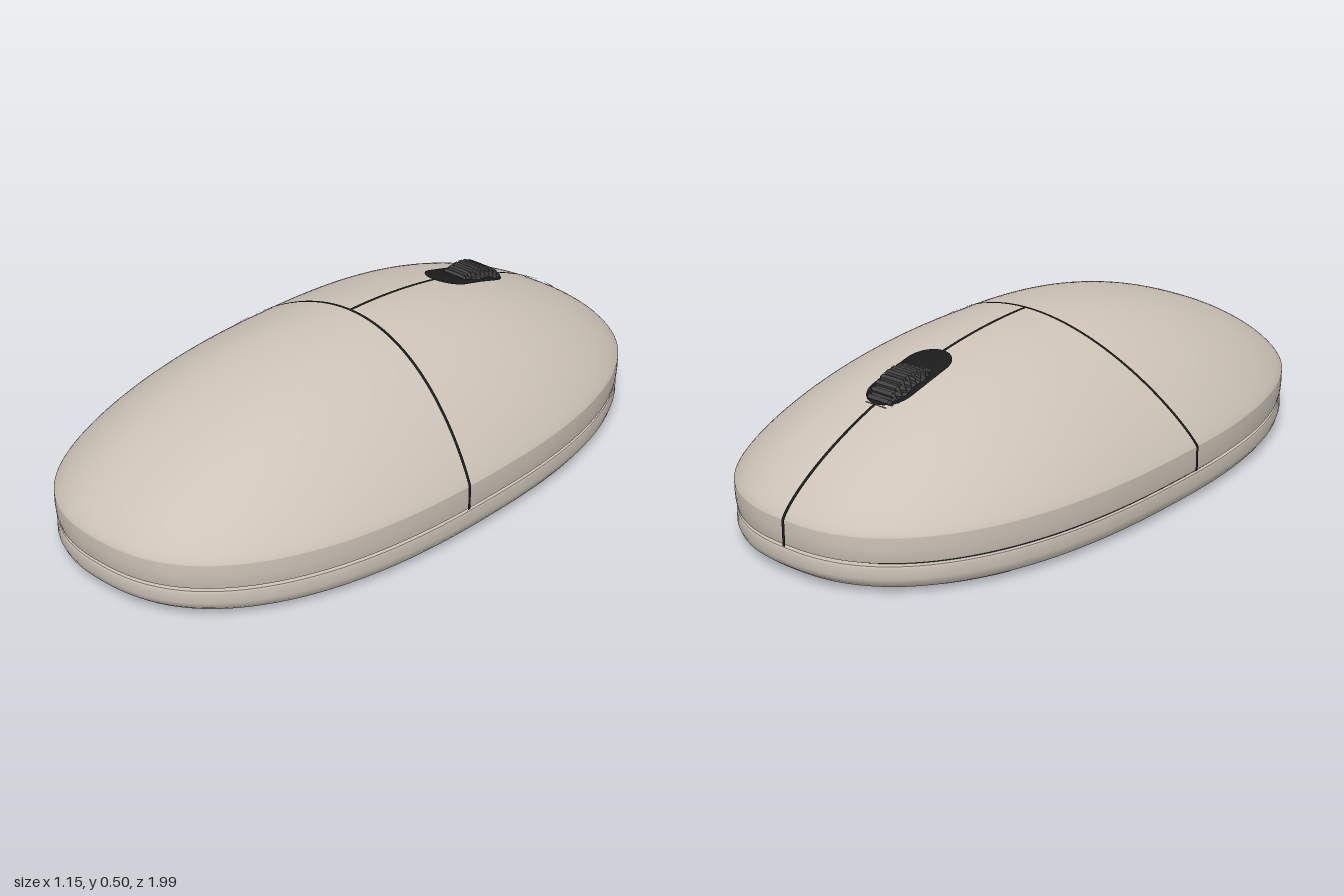
import * as THREE from 'three';

const A = 0.5525, B = 1.0, N = 2.4;      // superellipse plan: half width, half length, exponent
const TILT = 0.14;                       // the body lies slightly askew
const RIM = 0.17, RISE = 0.325;

const shellMat = new THREE.MeshStandardMaterial({ name: 'warmGreyShell', color: 0xcdc3b7 });
const seamMat = new THREE.MeshStandardMaterial({ name: 'blackSeam', color: 0x1b1b1c, side: THREE.DoubleSide });
const wheelMat = new THREE.MeshStandardMaterial({ name: 'darkRubber', color: 0x424242 });
const footMat = new THREE.MeshStandardMaterial({ name: 'footGrey', color: 0xc2b8b0 });

// Point of the plan outline at angle p; u is across, v is forward (-z)
function outline(p, s = 1) {
  const f = (c) => Math.sign(c) * Math.abs(c) ** (2 / N);
  return [A * s * f(Math.cos(p)), B * s * f(Math.sin(p))];
}

// Height of the domed top above plan position (u, v)
function topY(u, v) {
  const x = Math.abs(u / A), z = Math.abs(v / B);
  const s = (x ** N + z ** N) ** (1 / N);
  const side = x * x / (x * x + z * z + 1e-9);
  return RIM + RISE * Math.max(0, 1 - s * s) ** (0.75 + 0.13 * side);
}

function buildGeometry(pos, index) {
  const g = new THREE.BufferGeometry();
  g.setAttribute('position', new THREE.Float32BufferAttribute(pos, 3));
  g.setIndex(index);
  g.computeVertexNormals();
  return g;
}

// Loft rings [scale, y], ordered from the top down; y = null follows the dome
function loft(rings, segs = 144) {
  const pos = [], index = [];
  rings.forEach(([s, y], i) => {
    for (let j = 0; j < segs; j++) {
      const [u, v] = outline(j / segs * Math.PI * 2, s);
      pos.push(u, y ?? topY(u, v), -v);
      if (i === rings.length - 1) continue;
      const k = (j + 1) % segs, a = i * segs, b = a + segs;
      index.push(a + j, b + j, b + k, a + j, b + k, a + k);
    }
  });
  return buildGeometry(pos, index);
}

// Thin strip over the shell; points are [u, v, y], widened along (wu, wv)
function seamStrip(points, wu, wv) {
  const pos = [], index = [];
  points.forEach(([u, v, y], i) => {
    for (const k of [-1, 1]) pos.push(u * 1.004 + k * wu, y + 0.003, -(v * 1.004 + k * wv));
    if (i) index.push(2 * i - 2, 2 * i - 1, 2 * i, 2 * i - 1, 2 * i + 1, 2 * i);
  });
  return buildGeometry(pos, index);
}

// Capsule patch draped on the dome around the wheel
function slotPatch(cv, halfW, halfL) {
  const pos = [], index = [], segs = 48, rows = 6;
  for (let i = 0; i <= rows; i++) for (let j = 0; j < segs; j++) {
    const p = j / segs * Math.PI * 2, r = i / rows;
    const u = r * halfW * Math.cos(p);
    const v = cv + r * (halfW * Math.sin(p) + Math.sign(Math.sin(p)) * (halfL - halfW));
    pos.push(u, topY(u, v) + 0.005, -v);
    if (i === rows) continue;
    const k = (j + 1) % segs, a = i * segs, b = a + segs;
    index.push(a + j, b + j, b + k, a + j, b + k, a + k);
  }
  return buildGeometry(pos, index);
}

// Curved glide foot following the outline at one end
function footGeometry(end) {
  const shape = new THREE.Shape(), n = 28, spread = 0.96;
  const pts = [];
  for (let i = 0; i <= n; i++) pts.push(outline(Math.PI / 2 + spread * (i / n * 2 - 1), 0.925));
  for (let i = n; i >= 0; i--) pts.push(outline(Math.PI / 2 + spread * (i / n * 2 - 1), 0.87));
  shape.setFromPoints(pts.map(([u, v]) => new THREE.Vector2(u, v)));
  const g = new THREE.ExtrudeGeometry(shape, { depth: 0.014, bevelEnabled: false });
  g.rotateX(-Math.PI / 2);
  if (end < 0) g.rotateY(Math.PI);
  return g;
}

// Ribbed scroll wheel with chamfered rims, axis along x
function wheelGeometry(r, width) {
  const shape = new THREE.Shape(), teeth = 40, pts = [];
  for (let i = 0; i < teeth; i++) {
    [[0, r], [0.5, r], [0.6, r - 0.009], [0.9, r - 0.009]].forEach(([o, q]) => {
      const p = (i + o) / teeth * Math.PI * 2;
      pts.push(new THREE.Vector2(q * Math.cos(p), q * Math.sin(p)));
    });
  }
  shape.setFromPoints(pts);
  const bevel = 0.02;
  const g = new THREE.ExtrudeGeometry(shape, {
    depth: width - 2 * bevel, bevelThickness: bevel, bevelSize: bevel, bevelOffset: -bevel, bevelSegments: 1,
  });
  g.translate(0, 0, bevel - width / 2);
  return g.rotateY(Math.PI / 2);
}

export function createModel() {
  const model = new THREE.Group();
  model.name = 'computerMouse';
  const body = new THREE.Group();
  body.name = 'body';
  body.rotation.y = -TILT;
  model.add(body);
  const add = (name, geometry, material, x = 0, y = 0, z = 0) => {
    const m = new THREE.Mesh(geometry, material);
    m.name = name;
    m.position.set(x, y, z);
    body.add(m);
  };

  // Domed upper shell with a short upright wall
  const dome = [];
  for (let i = 0; i <= 44; i++) dome.push([Math.sin(i / 44 * Math.PI / 2), i === 44 ? RIM : null]);
  add('upperShell', loft([...dome, [1, 0.14], [0.998, 0.115], [0.993, 0.096], [0.993, 0.096], [0.95, 0.096]]), shellMat);

  // Dark core showing in the gap between the shells
  add('shellGap', loft([[0.972, 0.1], [0.972, 0.08]]), seamMat);

  // Lower shell with a rounded bottom edge
  add('lowerShell', loft([[0.94, 0.086], [0.992, 0.086], [0.992, 0.086], [0.996, 0.08], [0.996, 0.05],
    [0.988, 0.032], [0.972, 0.019], [0.95, 0.013], [0.925, 0.012], [0.925, 0.012], [0, 0.012]]), shellMat);

  // Seam across the back of the buttons, running down both walls
  const across = [], centre = [], n = 60;
  for (let i = 0; i <= n; i++) {
    const u = A * 0.9983 * Math.sin((i / n - 0.5) * Math.PI);
    const v = -0.005 - 0.1 * (u / A) ** 2;
    across.push([u, v, topY(u, v)]);
    const w = Math.sin(i / n * Math.PI / 2);
    centre.push([0, w, topY(0, w)]);
  }
  const drop = ([u, v]) => [u, v, 0.094];
  add('crossSeam', seamStrip([drop(across[0]), ...across, drop(across[n])], 0, 0.005), seamMat);

  // Seam between the two buttons
  add('buttonSeam', seamStrip([...centre, drop(centre[n])], 0.005, 0), seamMat);

  // Scroll wheel in its slot
  add('wheelSlot', slotPatch(0.5, 0.073, 0.142), seamMat);
  add('scrollWheel', wheelGeometry(0.15, 0.115), wheelMat, 0, 0.312, -0.51);

  // Underside: glide feet, sensor window and power switch
  add('frontFoot', footGeometry(1), footMat);
  add('rearFoot', footGeometry(-1), footMat);
  add('sensorWindow', new THREE.BoxGeometry(0.13, 0.006, 0.17), seamMat, 0, 0.0115, -0.11);
  add('switchSlot', new THREE.BoxGeometry(0.06, 0.006, 0.12), seamMat, 0, 0.0115, 0.465);
  add('switchSlider', new THREE.BoxGeometry(0.042, 0.008, 0.055), shellMat, 0, 0.009, 0.445);

  return model;
}
